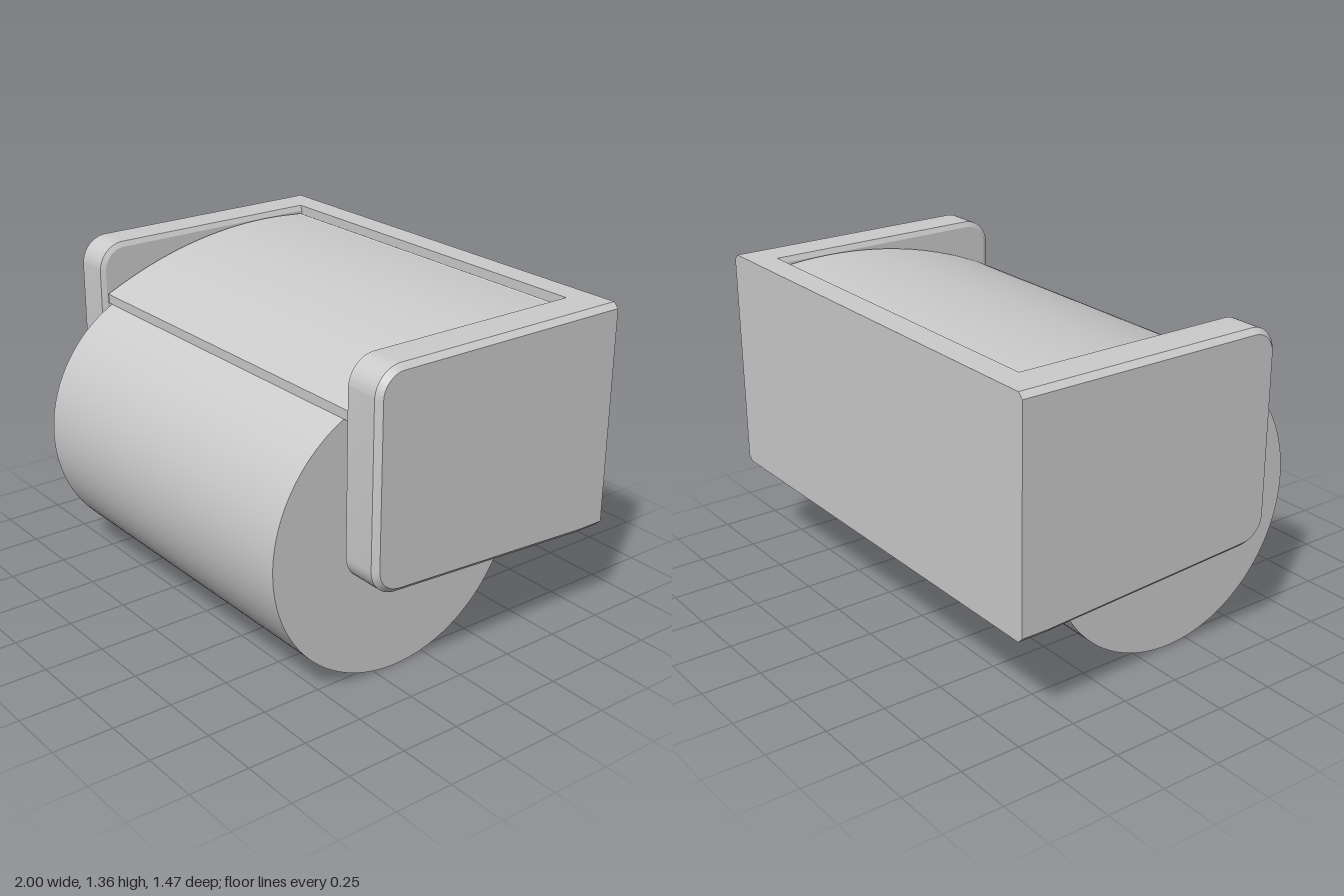
import * as THREE from 'three';
import { toCreasedNormals } from 'three/addons/utils/BufferGeometryUtils.js';

const material = new THREE.MeshStandardMaterial({ color: 0xcccccc });
const BACK = -0.735;

function add(group, name, geometry) {
  const mesh = new THREE.Mesh(geometry, material);
  mesh.name = name;
  group.add(mesh);
  return mesh;
}

// Extrudes a (z, y) profile along x, centred on x = 0
function extrudeX(shape, width, bevel = 0, segments = 12) {
  const depth = width - 2 * bevel;
  return new THREE.ExtrudeGeometry(shape, {
    depth, curveSegments: segments, steps: 1,
    bevelEnabled: bevel > 0, bevelThickness: bevel, bevelSize: bevel,
    bevelOffset: -bevel, bevelSegments: 1,
  }).translate(0, 0, -depth / 2).rotateY(-Math.PI / 2);
}

// Side arm: rounded front corners, sloping underside, chamfered rim
function armGeometry(side) {
  const s = new THREE.Shape();
  s.moveTo(BACK, 0.415);
  s.lineTo(-0.62, 0.415);
  s.lineTo(0.325, 0.468);
  s.bezierCurveTo(0.39, 0.472, 0.44, 0.52, 0.44, 0.585);
  s.lineTo(0.44, 1.24);
  s.absarc(0.325, 1.24, 0.115, 0, Math.PI / 2, false);
  s.lineTo(BACK, 1.355);
  const bevel = 0.022;
  const geo = extrudeX(s, 0.175, bevel).translate(side * 0.9125, 0, 0);
  const p = geo.attributes.position;
  for (let i = 0; i < p.count; i++) {
    // square back against the wall, shallower chamfer on the inner face
    if (p.getZ(i) < -0.7) p.setZ(i, BACK);
    if (Math.abs(Math.abs(p.getX(i)) - 0.847) < 0.001) p.setX(i, side * 0.835);
  }
  return toCreasedNormals(geo, 0.4);
}

export function createModel() {
  const model = new THREE.Group();
  model.name = 'paperRollHolder';

  // Frame
  add(model, 'backPanel', new THREE.BoxGeometry(1.7, 0.94, 0.11)).position.set(0, 0.885, BACK + 0.055);
  add(model, 'leftArm', armGeometry(1));
  add(model, 'rightArm', armGeometry(-1));

  // Paper roll with an open core
  const ring = new THREE.Shape().absarc(0, 0, 0.585, 0, Math.PI * 2, false);
  ring.holes.push(new THREE.Path().absarc(0, 0, 0.205, 0, Math.PI * 2, true));
  const roll = add(model, 'paperRoll', toCreasedNormals(extrudeX(ring, 1.576, 0, 64), 0.4));
  roll.position.set(0, 0.585, 0.15);

  // Spindle carrying the roll at the top of its core
  const spindle = add(model, 'spindle', new THREE.CylinderGeometry(0.075, 0.075, 1.68, 32));
  spindle.rotation.z = Math.PI / 2;
  spindle.position.set(0, 0.71, 0.145);

  // Curved flap resting on the roll
  const cz = -0.4, cy = -0.525, outer = 1.86, inner = 1.825;
  const angle = (z, r) => Math.acos((z - cz) / r);
  const flap = new THREE.Shape();
  flap.absarc(cz, cy, outer, angle(0.42, outer), angle(-0.6, outer), false);
  flap.absarc(cz, cy, inner, angle(-0.6, inner), angle(0.42, inner), true);
  flap.closePath();
  add(model, 'coverFlap', toCreasedNormals(extrudeX(flap, 1.62, 0, 40), 0.4));

  // Hinge barrel along the flap's rear edge, with thinner pins into the arms
  [['hingeBarrel', 0.024, 1.62], ['hingePin', 0.02, 1.68]].forEach(([name, r, length]) => {
    const hinge = add(model, name, new THREE.CylinderGeometry(r, r, length, 24));
    hinge.rotation.z = Math.PI / 2;
    hinge.position.set(0, 1.303, -0.597);
  });

  return model;
}
